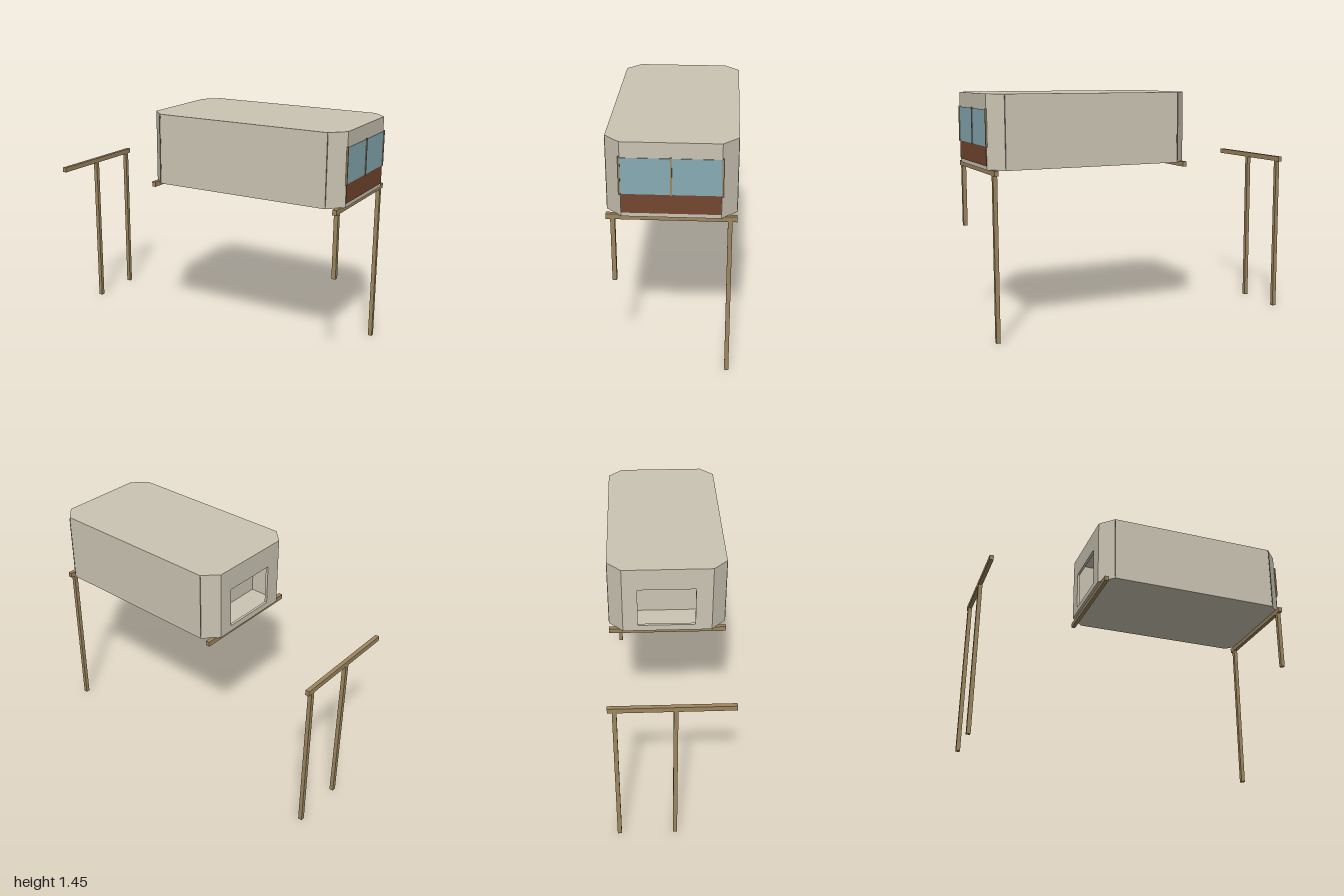
import * as THREE from 'three';

const paint = (name, color) => {
  const m = new THREE.MeshStandardMaterial({ color });
  m.name = name;
  return m;
};

export function createModel() {
  const model = new THREE.Group();
  model.name = 'raisedCabin';
  const panel = paint('panel grey', 0xcac4b3);
  const wood = paint('wood', 0x9d865f);
  const glass = paint('window blue', 0x86abb4);
  const brown = paint('sill brown', 0x74472f);
  const seam = paint('seam grey', 0x77736a);

  // Box given by its minimum and maximum corners
  const box = (name, mat, [x0, y0, z0], [x1, y1, z1], parent = model) => {
    const mesh = new THREE.Mesh(new THREE.BoxGeometry(x1 - x0, y1 - y0, z1 - z0), mat);
    mesh.position.set((x0 + x1) / 2, (y0 + y1) / 2, (z0 + z1) / 2);
    mesh.name = name;
    parent.add(mesh);
    return mesh;
  };

  // Cabin footprint: a rectangle with cut corners
  const X0 = -0.29, X1 = 0.993, Z = 0.357, C = 0.086, Y0 = 1.015, Y1 = 1.45, T = 0.016;
  const plan = [
    [X0 + C, Z], [X1 - C, Z], [X1, Z - C], [X1, C - Z],
    [X1 - C, -Z], [X0 + C, -Z], [X0, C - Z], [X0, Z - C],
  ];
  const cabin = new THREE.Group();
  cabin.name = 'cabin';
  model.add(cabin);

  // Floor and roof slabs
  const planShape = new THREE.Shape(plan.map(([x, z]) => new THREE.Vector2(x, -z)));
  for (const [name, y] of [['floor', Y0], ['roof', Y1 - T]]) {
    const geo = new THREE.ExtrudeGeometry(planShape, { depth: T, bevelEnabled: false });
    geo.rotateX(-Math.PI / 2);
    const slab = new THREE.Mesh(geo, panel);
    slab.position.y = y;
    slab.name = name;
    cabin.add(slab);
  }

  // Walls between the slabs, with a doorway in the end facing -x
  plan.forEach(([ax, az], i) => {
    const [bx, bz] = plan[(i + 1) % 8];
    const half = Math.hypot(bx - ax, bz - az) / 2;
    const y0 = Y0 + T, y1 = Y1 - T;
    const rect = (x0, ya, x1, yb) =>
      [[x0, ya], [x1, ya], [x1, yb], [x0, yb]].map((p) => new THREE.Vector2(...p));
    const shape = new THREE.Shape(rect(-half, y0, half, y1));
    if (i === 6) shape.holes.push(new THREE.Path(rect(-0.18, 1.054, 0.17, 1.31).reverse()));
    const geo = new THREE.ExtrudeGeometry(shape, { depth: T, bevelEnabled: false });
    geo.translate(0, 0, -T);
    const wall = new THREE.Mesh(geo, panel);
    wall.position.set((ax + bx) / 2, 0, (az + bz) / 2);
    wall.rotation.y = Math.atan2(-(bz - az), bx - ax);
    wall.name = i % 2 ? 'cornerWall' : 'wall';
    cabin.add(wall);
  });

  // Alcove behind the doorway
  box('alcoveBack', panel, [-0.1, Y0 + T, -0.27], [-0.09, Y1 - T, 0.27], cabin);
  for (const s of [-1, 1]) {
    box('alcoveSide', panel, [X0 + T, Y0 + T, s * 0.27 - 0.005], [-0.09, Y1 - T, s * 0.27 + 0.005], cabin);
  }

  // Thin seams where the long walls meet the cut corners
  for (const x of [X0 + C, X1 - C]) {
    for (const s of [-1, 1]) {
      box('cornerSeam', seam, [x - 0.003, 1.03, s * Z - 0.001], [x + 0.003, 1.44, s * Z + 0.001], cabin);
    }
  }

  // Window wall: glass band, brown sill panel and upright bars
  box('windowGlass', glass, [X1 - 0.001, 1.15, -0.27], [X1 + 0.003, 1.36, 0.27], cabin);
  box('sillPanel', brown, [X1 - 0.001, 1.038, -0.27], [X1 + 0.003, 1.15, 0.27], cabin);
  for (const z of [-0.275, 0, 0.275]) {
    box('windowBar', wood, [X1 - 0.002, 1.147, z - 0.005], [1, 1.367, z + 0.005], cabin);
  }

  // Cross beams with their posts, each post given as [z, foot height]
  const trestles = [
    [-0.9875, [[0.02, 0], [-0.318, 0]]],
    [-0.26, []],
    [0.965, [[0.32, 0.6], [-0.318, 0]]],
  ];
  for (const [x, posts] of trestles) {
    const trestle = new THREE.Group();
    trestle.name = 'trestle';
    model.add(trestle);
    box('crossBeam', wood, [x - 0.0125, 0.987, -0.357], [x + 0.0125, 1.018, 0.357], trestle);
    for (const [z, foot] of posts) {
      box('post', wood, [x - 0.0125, foot, z - 0.0125], [x + 0.0125, 0.987, z + 0.0125], trestle);
    }
  }
  return model;
}
